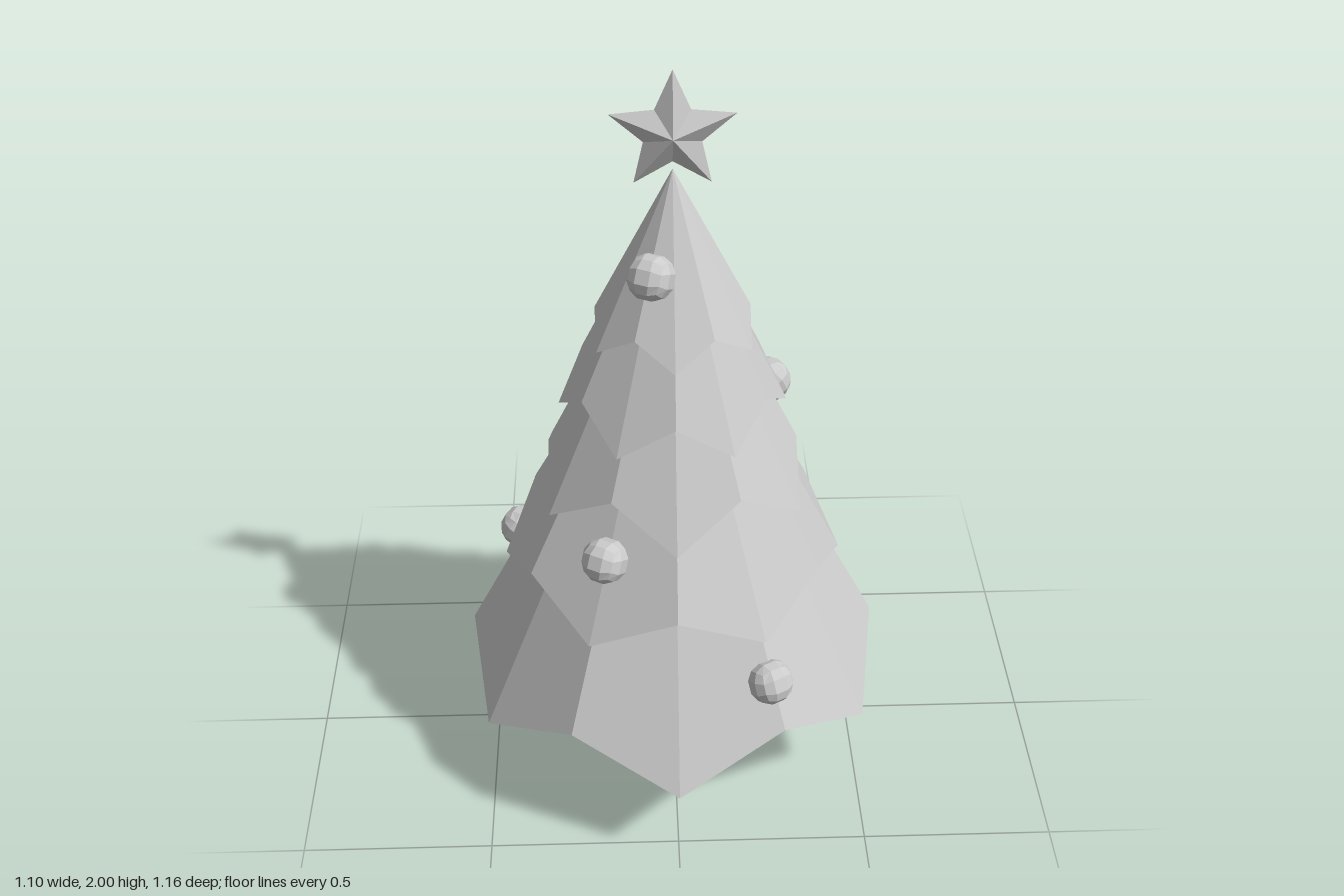
import * as THREE from 'three';

const material = new THREE.MeshStandardMaterial({ color: 0xcccccc, flatShading: true });

// Faceted solid: a closed ring of points fanned to one tip on each side.
function doubleFan(ring, tip, base) {
  const pos = [];
  ring.forEach((p, i) => {
    const q = ring[(i + 1) % ring.length];
    for (const v of [tip, p, q, base, q, p]) pos.push(...v);
  });
  const g = new THREE.BufferGeometry();
  g.setAttribute('position', new THREE.Float32BufferAttribute(pos, 3));
  g.computeVertexNormals();
  return g;
}

// Tier of branches: a 12-sided cone with a zigzag hem; odd tiers are turned by 30 degrees.
function tierGeometry({ low, high, apex }, turned) {
  const ring = [];
  for (let i = 0; i < 12; i++) {
    const a = (i * Math.PI) / 6;
    const [r, y] = (i % 2 === 1) === turned ? low : high;
    ring.push([r * Math.sin(a), y, r * Math.cos(a)]);
  }
  return doubleFan(ring, [0, apex, 0], [0, high[1] + 0.015, 0]);
}

// Five-pointed star with a raised centre on both sides.
function starGeometry(outer, inner, depth) {
  const ring = [];
  for (let i = 0; i < 10; i++) {
    const a = (-i * Math.PI) / 5;
    const r = i % 2 ? inner : outer;
    ring.push([r * Math.sin(a), r * Math.cos(a), 0]);
  }
  return doubleFan(ring, [0, 0, depth], [0, 0, -depth]);
}

// Bauble: a 3 x 3 x 3 box pushed out to a sphere.
function baubleGeometry(radius) {
  const g = new THREE.BoxGeometry(1, 1, 1, 3, 3, 3);
  const p = g.attributes.position;
  const v = new THREE.Vector3();
  for (let i = 0; i < p.count; i++) {
    v.fromBufferAttribute(p, i).setLength(radius);
    p.setXYZ(i, v.x, v.y, v.z);
  }
  g.computeVertexNormals();
  return g;
}

export function createModel() {
  const group = new THREE.Group();
  const add = (name, geometry, x = 0, y = 0, z = 0) => {
    const mesh = new THREE.Mesh(geometry, material);
    mesh.name = name;
    mesh.position.set(x, y, z);
    group.add(mesh);
    return mesh;
  };

  // Five-sided trunk with a flared foot
  add('trunk', new THREE.CylinderGeometry(0.085, 0.113, 0.32, 5, 1, true), 0, 0.26, 0);
  add('trunkFoot', new THREE.CylinderGeometry(0.113, 0.17, 0.1, 5), 0, 0.05, 0);

  // Branch tiers, bottom to top: [radius, height] of the hem points, and the apex height
  const tiers = [
    { low: [0.582, 0.25], high: [0.55, 0.38], apex: 1.44 },
    { low: [0.45, 0.605], high: [0.43, 0.705], apex: 1.5 },
    { low: [0.37, 0.87], high: [0.322, 0.975], apex: 1.63 },
    { low: [0.292, 1.09], high: [0.265, 1.18], apex: 1.72 },
    { low: [0.22, 1.31], high: [0.193, 1.375], apex: 1.75 },
  ];
  tiers.forEach((t, i) => add(`branchTier${i + 1}`, tierGeometry(t, i % 2 === 1)));

  // Star on the tip
  add('star', starGeometry(0.158, 0.073, 0.042), 0, 1.842, 0);

  // Baubles, each tilted to face out from the slope
  const bauble = baubleGeometry(0.06);
  const spots = [
    [-0.055, 1.52, 0.11], [-0.18, 0.82, 0.31], [0.237, 0.5, 0.42],
    [0.257, 1.06, -0.137], [0.235, 0.5, -0.423], [-0.42, 0.52, -0.22],
  ];
  spots.forEach(([x, y, z], i) => {
    const mesh = add(`bauble${i + 1}`, bauble, x, y, z);
    mesh.rotation.set(-0.46, Math.atan2(x, z), 0, 'YXZ');
  });

  return group;
}
